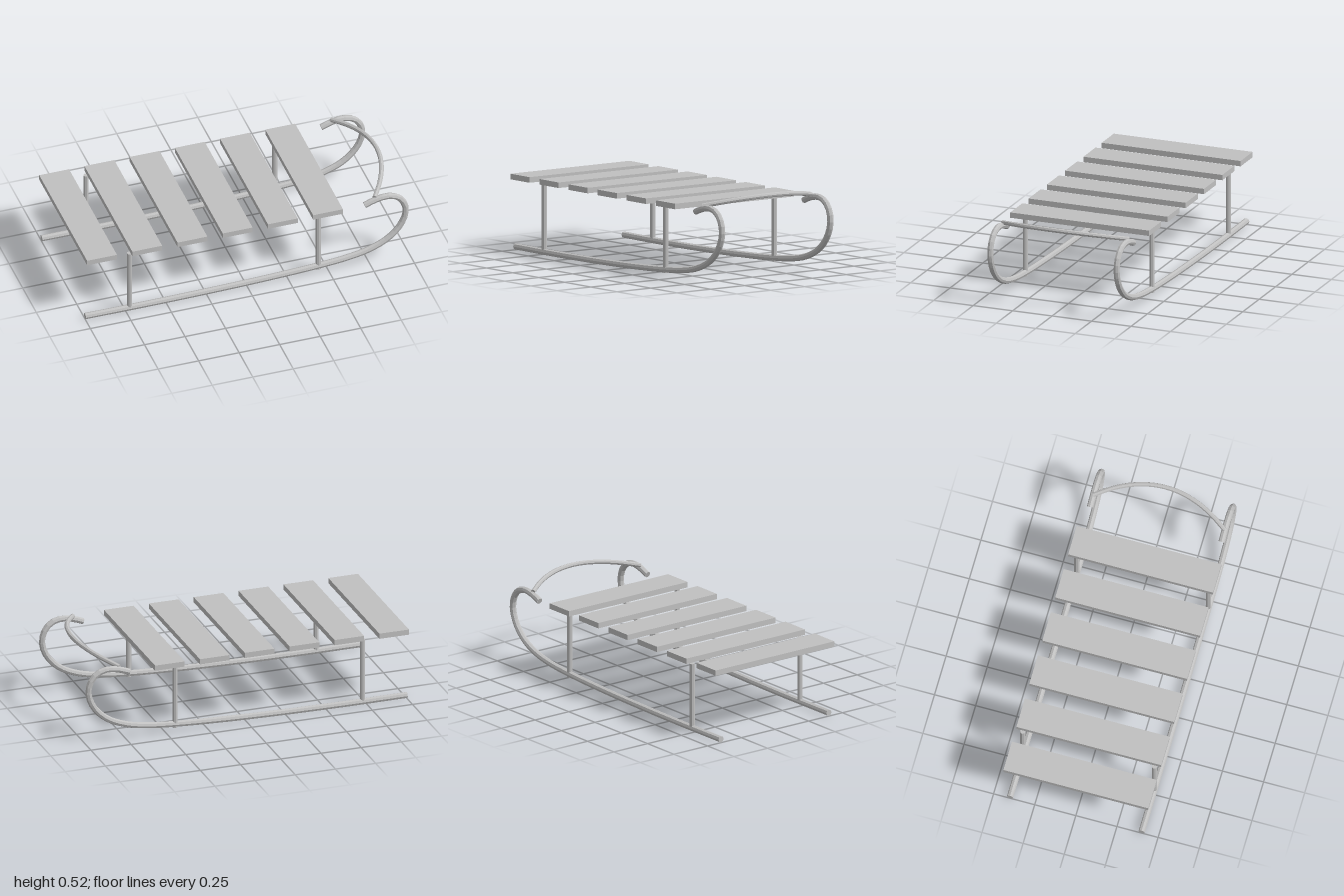
import * as THREE from 'three';

const steel = new THREE.MeshStandardMaterial({ color: 0xc0c0c0 });
steel.name = 'light grey';

// Eight-sided faceted tube with closed ends
function rod(name, points, radius, segments) {
  const group = new THREE.Group();
  group.name = name;
  const curve = new THREE.CatmullRomCurve3(points.map(p => new THREE.Vector3(...p)), false, 'centripetal');
  const tube = new THREE.TubeGeometry(curve, segments, radius, 8).toNonIndexed();
  tube.computeVertexNormals();
  const body = new THREE.Mesh(tube, steel);
  body.name = name + 'Tube';
  group.add(body);
  for (const t of [0, 1]) {
    const cap = new THREE.Mesh(new THREE.CircleGeometry(radius, 8), steel);
    cap.name = name + 'End';
    cap.position.copy(curve.getPointAt(t));
    const outward = curve.getTangentAt(t).multiplyScalar(t ? 1 : -1);
    cap.quaternion.setFromUnitVectors(new THREE.Vector3(0, 0, 1), outward);
    group.add(cap);
  }
  return group;
}

export function createModel() {
  const sled = new THREE.Group();
  sled.name = 'sled';

  // Seat slats
  for (let i = 0; i < 6; i++) {
    const slat = new THREE.Mesh(new THREE.BoxGeometry(0.184, 0.033, 0.88), steel);
    slat.name = 'seatSlat';
    slat.position.set(-0.908 + 0.279 * i, 0.44, 0);
    sled.add(slat);
  }

  // Runners curling up at the nose, and their posts
  const profile = [
    [-1, 0.024], [-0.6, 0.023], [-0.2, 0.027], [0.15, 0.036], [0.44, 0.05], [0.62, 0.067],
    [0.75, 0.094], [0.86, 0.143], [0.935, 0.212], [0.974, 0.29], [0.977, 0.355],
    [0.95, 0.415], [0.905, 0.448], [0.855, 0.457], [0.79, 0.447], [0.725, 0.423]
  ];
  for (const z of [0.4, -0.4]) {
    sled.add(rod('runner', profile.map(([x, y]) => [x, y, z]), 0.019, 64));
    for (const [x, bottom] of [[-0.725, 0.02], [0.44, 0.03]]) {
      const geometry = new THREE.CylinderGeometry(0.016, 0.016, 0.42 - bottom, 8).toNonIndexed();
      geometry.computeVertexNormals();
      const post = new THREE.Mesh(geometry, steel);
      post.name = 'post';
      post.position.set(x, (0.42 + bottom) / 2, z);
      sled.add(post);
    }
  }

  // Bowed handle joining the curled noses
  const bow = [];
  for (let i = -4; i <= 4; i++) {
    const k = 1 - (i / 4) ** 2;
    bow.push([0.788 + 0.145 * k, 0.464 + 0.046 * k, i * 0.1]);
  }
  sled.add(rod('handle', bow, 0.014, 24));

  return sled;
}
